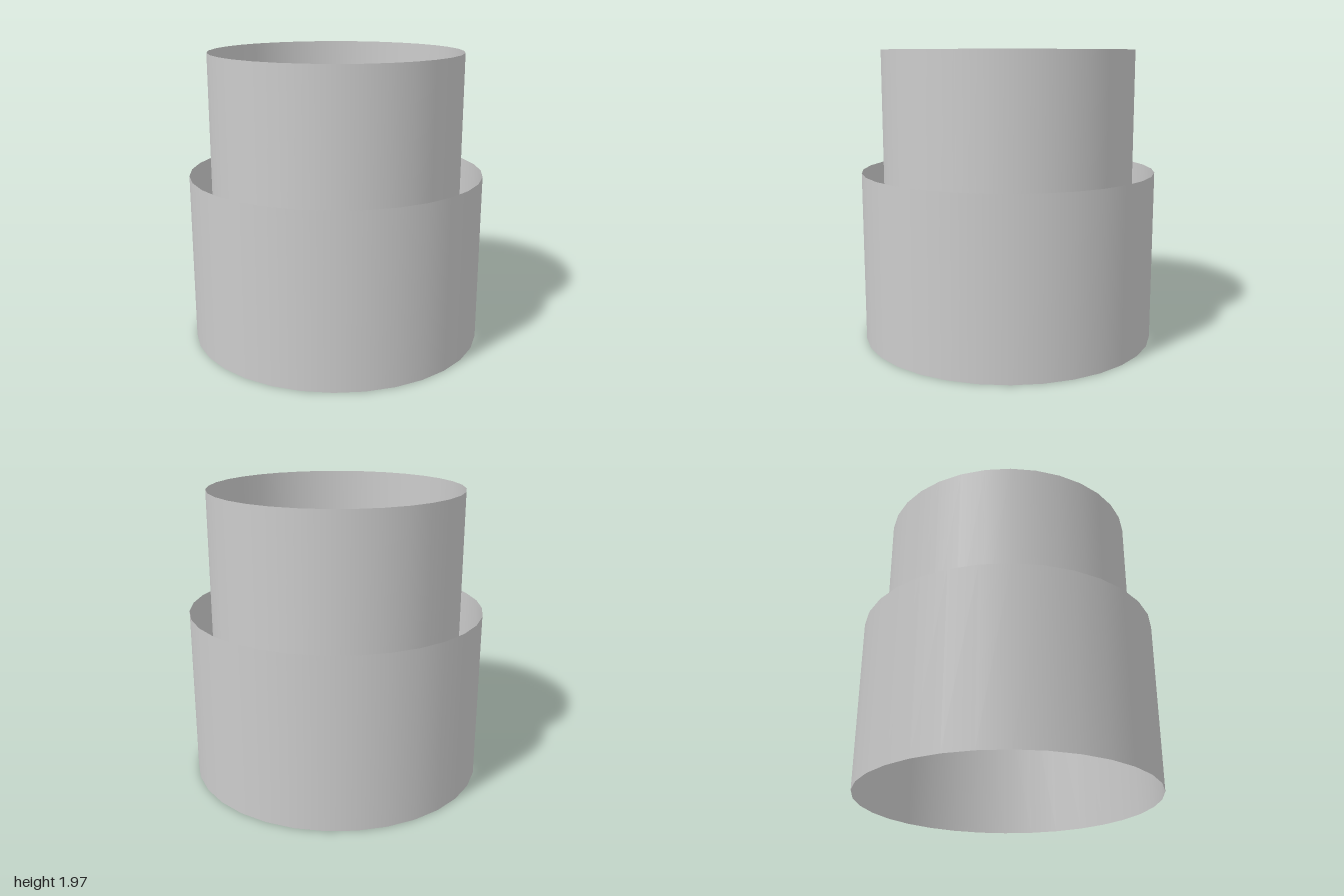
import * as THREE from 'three';

export function createModel() {
  const group = new THREE.Group();
  group.name = 'steppedSleeve';
  const material = new THREE.MeshStandardMaterial({ color: 0xcccccc, side: THREE.DoubleSide });

  // Thin open-ended tube between two heights
  function tube(name, radius, bottom, top) {
    const geometry = new THREE.CylinderGeometry(radius, radius, top - bottom, 32, 1, true);
    const mesh = new THREE.Mesh(geometry, material);
    mesh.name = name;
    mesh.position.y = (bottom + top) / 2;
    group.add(mesh);
  }

  tube('outerTube', 1, 0, 1.155);
  // Narrower tube, its lower end reaching down inside the outer one
  tube('innerTube', 0.853, 0.868, 1.97);

  return group;
}
